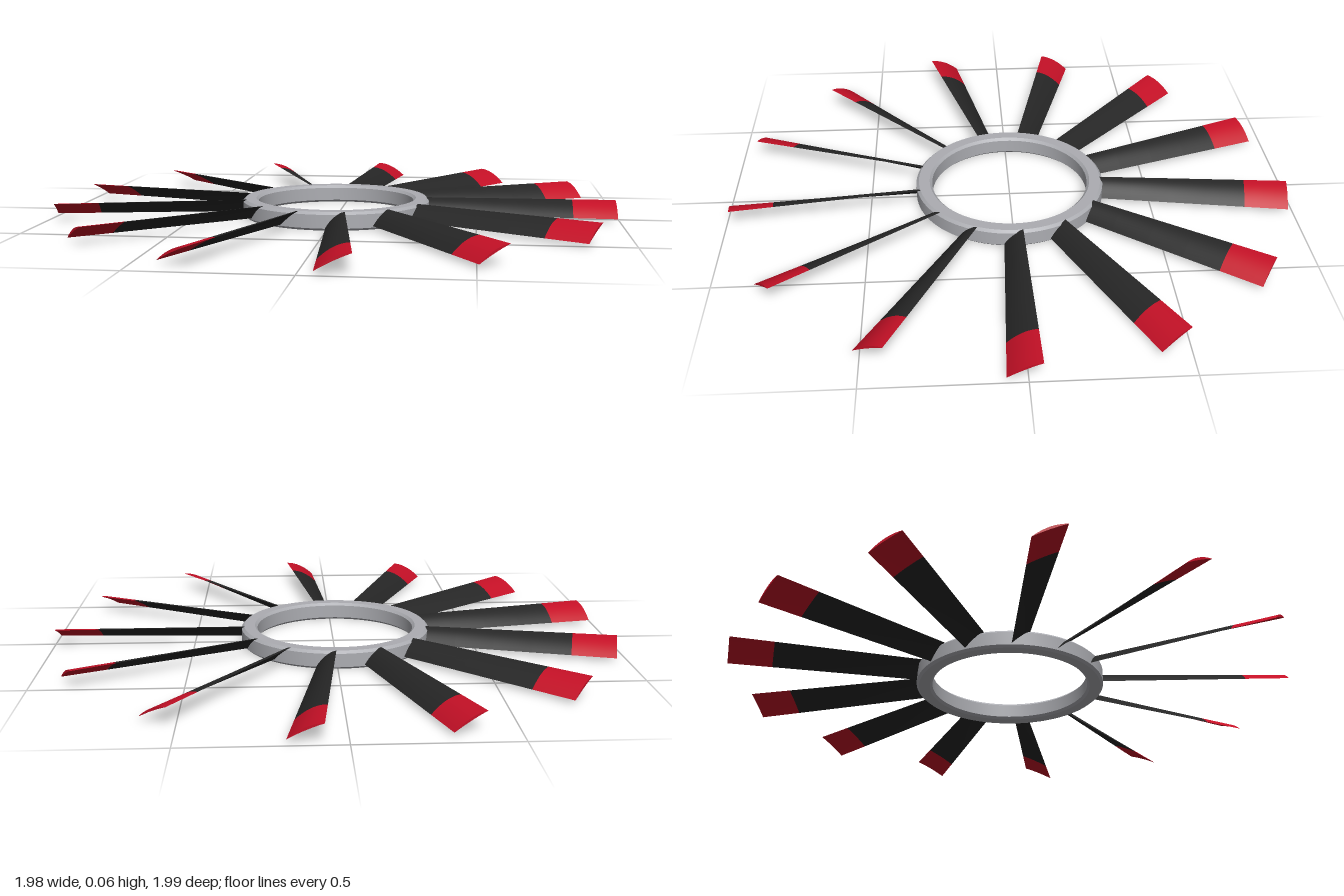
import * as THREE from 'three';
import { mergeGeometries, toCreasedNormals } from 'three/addons/utils/BufferGeometryUtils.js';

const BLADES = 13, ROOT = 0.305, BAND = 0.845, TIP = 0.998;

// Smooth grid over u, v in 0..1; the front side is along du x dv
function sheet(nu, nv, point) {
  const pos = [], index = [];
  for (let j = 0; j <= nv; j++)
    for (let i = 0; i <= nu; i++) pos.push(...point(i / nu, j / nv));
  for (let j = 0; j < nv; j++)
    for (let i = 0; i < nu; i++) {
      const a = j * (nu + 1) + i, b = a + 1, d = a + nu + 1, c = d + 1;
      index.push(a, b, c, a, c, d);
    }
  const g = new THREE.BufferGeometry();
  g.setAttribute('position', new THREE.Float32BufferAttribute(pos, 3));
  g.setIndex(index);
  g.computeVertexNormals();
  return g;
}

// Point on the cambered, pitched blade: r along the span, s across the chord
function bladePoint(r, s, arch) {
  const width = 0.063 + (r - ROOT) * 0.066;
  return [r, 0.013 + 0.051 * s + arch * 4 * s * (1 - s), width * (0.5 - s)];
}

// Closed span of a blade between two radii
function bladeSection(r0, r1) {
  const top = 0.012, low = 0.003, n = 10;
  const r = u => r0 + (r1 - r0) * u;
  const arch = v => low + (top - low) * v;
  return mergeGeometries([
    sheet(4, n, (u, v) => bladePoint(r(u), v, top)),
    sheet(4, n, (u, v) => bladePoint(r(u), 1 - v, low)),
    sheet(n, 1, (u, v) => bladePoint(r1, u, arch(v))),
    sheet(n, 1, (u, v) => bladePoint(r0, 1 - u, arch(v))),
  ]);
}

export function createModel() {
  const silver = new THREE.MeshStandardMaterial({ name: 'silver grey', color: 0xacadb2 });
  const black = new THREE.MeshStandardMaterial({ name: 'black', color: 0x262626 });
  const red = new THREE.MeshStandardMaterial({ name: 'red', color: 0xc41026 });

  const model = new THREE.Group();
  model.name = 'bladedRing';
  const rotor = new THREE.Group();
  rotor.name = 'rotor';
  rotor.position.x = -0.006;
  model.add(rotor);

  // Hub ring with bevelled edges
  const profile = [
    [0.328, 0], [0.337, 0.008], [0.337, 0.055], [0.328, 0.064],
    [0.289, 0.064], [0.28, 0.055], [0.28, 0.008], [0.289, 0], [0.328, 0],
  ].map(([x, y]) => new THREE.Vector2(x, y));
  const ring = new THREE.Mesh(toCreasedNormals(new THREE.LatheGeometry(profile, 96), 0.6), silver);
  ring.name = 'hubRing';
  rotor.add(ring);

  // Blades with coloured tips
  const bodyGeometry = bladeSection(ROOT, BAND);
  const tipGeometry = bladeSection(BAND, TIP);
  for (let i = 0; i < BLADES; i++) {
    const blade = new THREE.Group();
    blade.name = 'blade' + (i + 1);
    const body = new THREE.Mesh(bodyGeometry, black);
    body.name = 'bladeBody';
    const tip = new THREE.Mesh(tipGeometry, red);
    tip.name = 'bladeTip';
    blade.add(body, tip);
    blade.rotation.y = -0.011 - (i / BLADES) * Math.PI * 2;
    rotor.add(blade);
  }
  return model;
}
